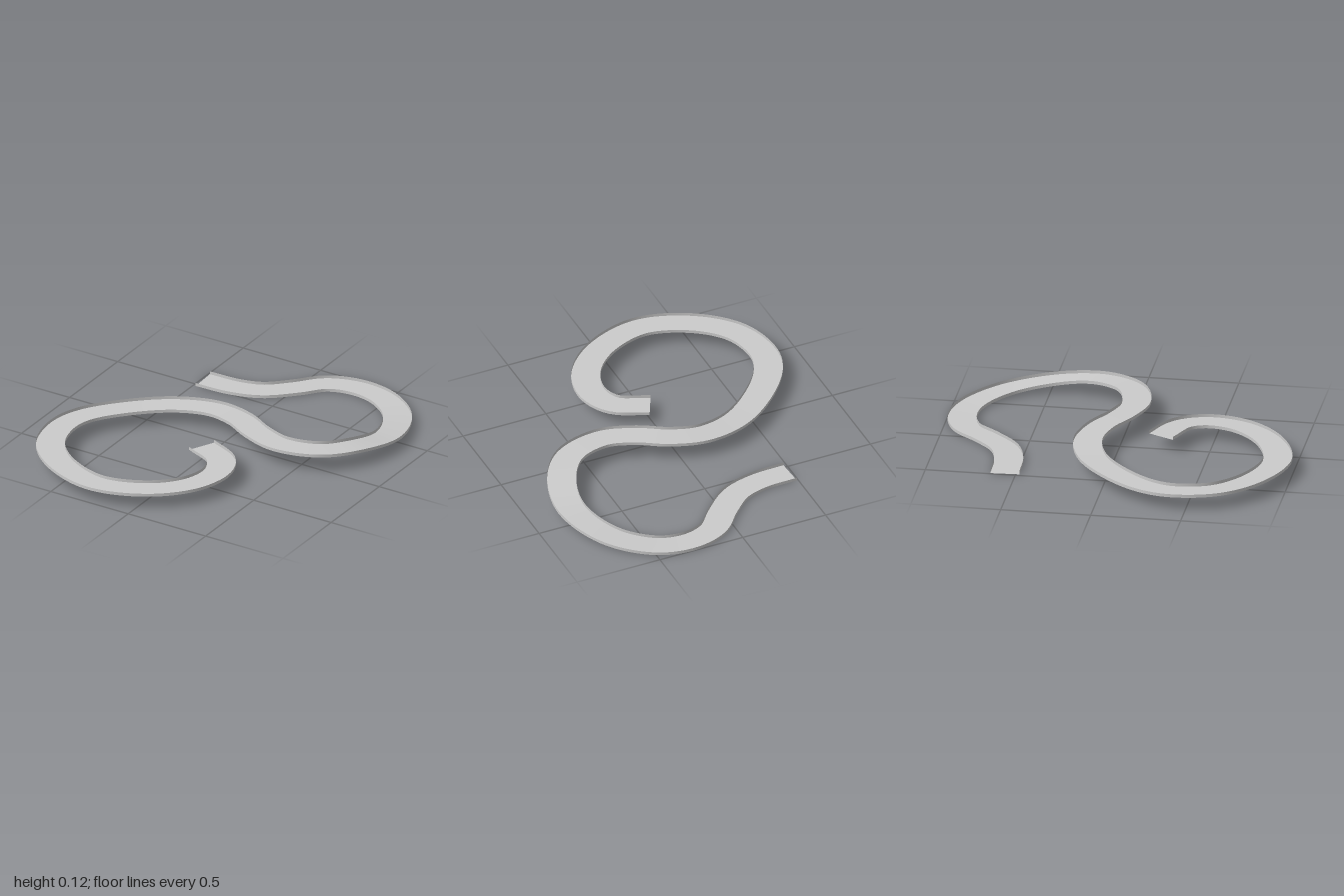
import * as THREE from 'three';

const HALF_WIDTH = 0.08, WALL = 0.018, STEPS = 200;

// Centre line of the track floor: x, height, z
const PATH = [
  [-0.488, 0, -0.56], [-0.29, 0, -0.57], [-0.135, 0, -0.62], [0, 0, -0.74],
  [0.12, 0, -0.87], [0.28, 0, -0.92], [0.47, 0.004, -0.885], [0.67, 0.02, -0.72],
  [0.775, 0.05, -0.45], [0.735, 0.082, -0.22], [0.6, 0.095, -0.035],
  [0.38, 0.098, 0.03], [0.2, 0.098, -0.02], [0.03, 0.095, -0.11],
  [-0.16, 0.088, -0.15], [-0.38, 0.079, -0.09], [-0.6, 0.075, 0.085],
  [-0.74, 0.075, 0.275], [-0.775, 0.075, 0.43], [-0.72, 0.075, 0.65],
  [-0.54, 0.075, 0.825], [-0.26, 0.075, 0.917], [0.02, 0.075, 0.825],
  [0.19, 0.075, 0.65], [0.235, 0.075, 0.46], [0.175, 0.075, 0.32], [-0.005, 0.075, 0.23],
];

// Sweeps a straight section, given by two [side, up] ends, along the curve
function strip(curve, a, b) {
  const pos = [], index = [];
  for (let i = 0; i <= STEPS; i++) {
    const p = curve.getPointAt(i / STEPS);
    const t = curve.getTangentAt(i / STEPS).setY(0).normalize();
    for (const [side, up] of [a, b]) {
      pos.push(p.x - t.z * side, p.y + up, p.z + t.x * side);
    }
    if (i < STEPS) {
      const k = 2 * i;
      index.push(k, k + 1, k + 2, k + 1, k + 3, k + 2);
    }
  }
  const g = new THREE.BufferGeometry();
  g.setAttribute('position', new THREE.Float32BufferAttribute(pos, 3));
  g.setIndex(index);
  g.computeVertexNormals();
  return g;
}

export function createModel() {
  const group = new THREE.Group();
  group.name = 'windingTrack';
  const material = new THREE.MeshStandardMaterial({ color: 0xcccccc, side: THREE.DoubleSide });
  const curve = new THREE.CatmullRomCurve3(PATH.map((p) => new THREE.Vector3(...p)), false, 'centripetal');
  curve.arcLengthDivisions = 1000;

  const add = (name, a, b) => {
    const mesh = new THREE.Mesh(strip(curve, a, b), material);
    mesh.name = name;
    group.add(mesh);
  };
  const w = HALF_WIDTH;
  // Open channel: floor and a low thin wall on each edge
  add('trackFloor', [-w, 0], [w, 0]);
  add('leftWall', [-w, WALL], [-w, 0]);
  add('rightWall', [w, 0], [w, WALL]);
  return group;
}
